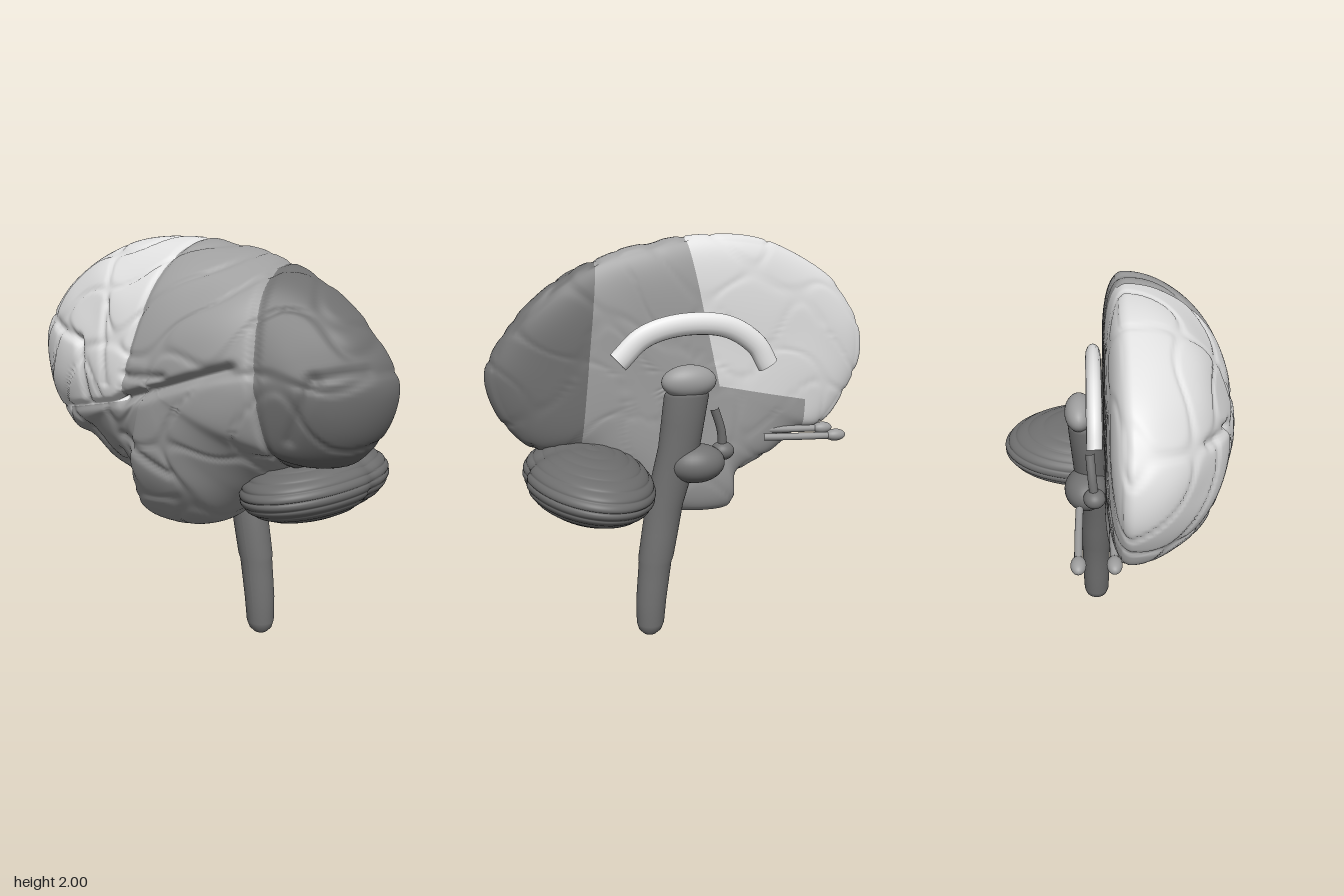
import * as THREE from 'three';

const mat = (name, color, side = THREE.FrontSide) =>
  Object.assign(new THREE.MeshStandardMaterial({ color, side }), { name });

// linear lookup in a table of [key, value] pairs
function lookup(table, k) {
  const i = Math.max(1, table.findIndex(([key]) => k <= key));
  const [a, va] = table[i - 1], [b, vb] = table[i];
  return THREE.MathUtils.mapLinear(k, a, b, va, vb);
}

// side outline of the hemisphere (x, y)
const OUTLINE = [
  [-0.962, 1.4], [-0.94, 1.57], [-0.81, 1.757], [-0.67, 1.862], [-0.46, 1.96], [-0.2, 1.998], [0, 1.995],
  [0.25, 1.945], [0.42, 1.895], [0.59, 1.812], [0.75, 1.692], [0.88, 1.542], [0.955, 1.4], [0.95, 1.29],
  [0.885, 1.13], [0.77, 1.01], [0.54, 0.96], [0.33, 0.8], [0.14, 0.652], [-0.1, 0.595], [-0.26, 0.625],
  [-0.28, 0.79], [-0.47, 0.89], [-0.62, 0.995], [-0.75, 1.025], [-0.87, 1.165], [-0.94, 1.29],
];

// main furrows: x1, y1, x2, y2, depth, width
const FURROWS = [
  [-0.16, 1.275, 0.38, 1.455, 0.05, 0.024], [-0.63, 1.175, -0.16, 1.272, 0.02, 0.02],
  [0, 2, -0.16, 1.28, 0.012, 0.014], [0.43, 1.92, 0.54, 0.95, 0.012, 0.014],
  [-0.28, 0.62, -0.27, 1.0, 0.025, 0.02], [-0.12, 1.39, 0.07, 1.4, 0.02, 0.02],
  [-0.7, 1.58, -0.45, 1.53, 0.018, 0.02], [-0.45, 1.53, -0.4, 1.25, 0.018, 0.02],
  [-0.3, 1.7, -0.25, 1.35, 0.014, 0.018], [0.62, 1.15, 0.72, 1.42, 0.016, 0.02],
  [0.72, 1.42, 0.88, 1.45, 0.014, 0.02], [-0.2, 1.1, 0.05, 0.95, 0.016, 0.02],
];

// inward and outward folds of the cortex
function fold(x, y, z) {
  const a = x + 0.1 * Math.sin(5 * y + 1) + 0.05 * Math.sin(11 * y + 4 * z);
  const b = y + 0.1 * Math.sin(6 * x + 2) + 0.05 * Math.sin(12 * x - 5 * z);
  const n = Math.sin(13 * a + 6 * z) + Math.sin(15 * b - 5 * a - 4 * z);
  let h = 0.003 * n - 0.009 * Math.exp(-((n / 0.25) ** 2)) + 0.003;
  if (z < 0.03) return h * 0.4;
  for (const [x1, y1, x2, y2, depth, width] of FURROWS) {
    const dx = x2 - x1, dy = y2 - y1;
    const t = THREE.MathUtils.clamp(((x - x1) * dx + (y - y1) * dy) / (dx * dx + dy * dy), 0, 1);
    h -= depth * Math.exp(-((Math.hypot(x - x1 - dx * t, y - y1 - dy * t) / width) ** 2));
  }
  return h;
}

// closed half dome: rounded outside, nearly flat middle face
function hemisphere() {
  const nu = 280, nv = 104, front = 0.64, cx = -0.02, cy = 1.35;
  const curve = new THREE.CatmullRomCurve3(OUTLINE.map(([x, y]) => new THREE.Vector3(x, y, 0)), true);
  const rim = curve.getSpacedPoints(nu);
  const pos = [], index = [];
  for (let j = 0; j <= nv; j++) {
    const v = j / nv, outer = v <= front;
    const t = Math.sin((outer ? v / front : (1 - v) / (1 - front)) * Math.PI / 2);
    for (let i = 0; i < nu; i++) {
      const dx = rim[i].x - cx, dy = rim[i].y - cy;
      const z = outer ? 0.07 + 0.495 * Math.max(0, 1 - t * t) ** (0.54 - 0.12 * dy * dy)
        : 0.07 - 0.1 * Math.sqrt(Math.max(0, 1 - t ** 6));
      pos.push(cx + dx * t, cy + dy * t, z);
      if (j === nv) continue;
      const p = j * nu + i, q = j * nu + (i + 1) % nu;
      index.push(p, j < nv - 1 ? q + nu : q, p + nu);
      if (j > 0 && j < nv - 1) index.push(p, q, q + nu);
    }
  }
  const g = new THREE.BufferGeometry();
  g.setAttribute('position', new THREE.Float32BufferAttribute(pos, 3));
  g.setIndex(index);
  g.computeVertexNormals();
  const P = g.attributes.position, N = g.attributes.normal;
  const flattenPoles = () => {
    for (let i = 0; i < nu; i++) {
      N.setXYZ(i, 0, 0, 1);
      N.setXYZ(nv * nu + i, 0, 0, -1);
    }
  };
  flattenPoles();
  for (let i = 0; i < P.count; i++) {
    const x = P.getX(i), y = P.getY(i), z = P.getZ(i), h = fold(x, y, z);
    P.setXYZ(i, x + N.getX(i) * h, y + N.getY(i) * h, z + N.getZ(i) * h);
  }
  g.computeVertexNormals();
  flattenPoles();
  return g;
}

// polygons of [x, y, z, nx, ny, nz] corners, cut by a line through two points
function polygons(g) {
  const { position: P, normal: N } = g.attributes, I = g.index.array, out = [];
  const corner = (i) => [P.getX(i), P.getY(i), P.getZ(i), N.getX(i), N.getY(i), N.getZ(i)];
  for (let i = 0; i < I.length; i += 3) out.push([corner(I[i]), corner(I[i + 1]), corner(I[i + 2])]);
  return out;
}
function split(polys, x1, y1, x2, y2) {
  const side = (c) => (x2 - x1) * (c[1] - y1) - (y2 - y1) * (c[0] - x1);
  const left = [], right = [];
  for (const poly of polys) {
    const l = [], r = [];
    poly.forEach((a, i) => {
      const b = poly[(i + 1) % poly.length], da = side(a), db = side(b);
      (da >= 0 ? l : r).push(a);
      if (da >= 0 === db >= 0) return;
      const m = a.map((v, k) => v + (b[k] - v) * da / (da - db));
      l.push(m);
      r.push(m);
    });
    if (l.length > 2) left.push(l);
    if (r.length > 2) right.push(r);
  }
  return [left, right];
}
function fromPolygons(polys) {
  const pos = [], nor = [];
  for (const p of polys) for (let i = 2; i < p.length; i++) for (const c of [p[0], p[i - 1], p[i]]) {
    pos.push(...c.slice(0, 3));
    nor.push(...c.slice(3));
  }
  const g = new THREE.BufferGeometry();
  g.setAttribute('position', new THREE.Float32BufferAttribute(pos, 3));
  return g.setAttribute('normal', new THREE.Float32BufferAttribute(nor, 3));
}

// move every vertex of a geometry by a rule
function reshape(g, rule) {
  const P = g.attributes.position;
  for (let i = 0; i < P.count; i++) P.setXYZ(i, ...rule(P.getX(i), P.getY(i), P.getZ(i)));
  g.computeVertexNormals();
  return g;
}

export function createModel() {
  const group = new THREE.Group();
  const light = mat('light grey', 0xe0e0e0), mid = mat('mid grey', 0x9e9e9e), dark = mat('dark grey', 0x6e6e6e);
  const stemGrey = mat('stem grey', 0x727272), pale = mat('pale grey', 0xe8e8e8, THREE.DoubleSide);
  const add = (name, geo, m) => {
    const mesh = new THREE.Mesh(geo, m);
    mesh.name = name;
    group.add(mesh);
    return mesh;
  };
  const ball = (name, m, x, y, z, rx, ry, rz) =>
    add(name, new THREE.SphereGeometry(1, 32, 20).scale(rx, ry, rz).translate(x, y, z), m);
  const tube = (name, m, pts, r) =>
    add(name, new THREE.TubeGeometry(new THREE.CatmullRomCurve3(pts.map((p) => new THREE.Vector3(...p))), 40, r, 16), m);

  // lobes of the hemisphere
  const [rest, back] = split(polygons(hemisphere()), 0.54, 0.95, 0.43, 1.92);
  const [above, below] = split(rest, -0.63, 1.175, -0.16, 1.272);
  const [frontUpper, crown] = split(above, -0.16, 1.272, 0, 2);
  const [frontTip, lower] = split(below, -0.63, 1, -0.63, 2);
  add('frontalLobe', fromPolygons([...frontUpper, ...frontTip]), light);
  add('parietalLobe', fromPolygons(crown), mid);
  add('temporalLobe', fromPolygons(lower), mid);
  add('occipitalLobe', fromPolygons(back), dark);

  // cerebellum: layered leaves with a notch at the back
  const cerebellum = reshape(new THREE.SphereGeometry(1, 96, 160), (x, y, z) => {
    const notch = Math.exp(-((z / 0.12) ** 2)) * Math.max(0, x);
    const leaf = Math.abs(Math.sin(Math.asin(THREE.MathUtils.clamp(y, -1, 1)) * 13 + notch * 0.8));
    const k = 0.988 + 0.024 * Math.sqrt(leaf) - 0.07 * notch;
    return [x * k * 0.308, y * k * 0.164, z * k * 0.492];
  });
  add('cerebellum', cerebellum.rotateZ(0.16).translate(0.517, 0.862, -0.075), dark);

  // brain stem: a lathe bent along its length
  const profile = [[0, 0], [0.035, 0.012], [0.058, 0.035], [0.07, 0.07], [0.077, 0.2], [0.08, 0.3], [0.083, 0.4],
    [0.089, 0.43], [0.092, 0.56], [0.094, 0.7], [0.1, 0.85], [0.104, 1], [0.107, 1.13], [0.11, 1.26], [0.1, 1.28], [0, 1.285]];
  const bendX = [[0, 0.222], [0.2, 0.212], [0.4, 0.19], [0.7, 0.14], [1, 0.07], [1.29, 0.035]];
  const bendZ = [[0, -0.072], [0.7, -0.072], [1, -0.1], [1.29, -0.125]];
  const stem = new THREE.LatheGeometry(profile.map((p) => new THREE.Vector2(...p)), 40);
  add('brainStem', reshape(stem, (x, y, z) =>
    [x + lookup(bendX, y), y, z * (1 - 0.19 * y) + lookup(bendZ, y)]), stemGrey);
  ball('pons', stemGrey, -0.01, 0.915, -0.12, 0.145, 0.097, 0.11);
  ball('thalamus', mid, 0.035, 1.33, -0.15, 0.135, 0.08, 0.07);

  // pituitary gland on its stalk
  ball('pituitary', stemGrey, -0.16, 0.955, -0.08, 0.06, 0.047, 0.055);
  tube('pituitaryStalk', stemGrey, [[-0.16, 0.96, -0.08], [-0.15, 1.06, -0.09], [-0.11, 1.18, -0.1]], 0.022);

  // arched band above the thalamus, taller than thick
  const band = tube('corpusCallosum', pale, [[-0.395, 1.375, 0], [-0.33, 1.48, 0], [-0.18, 1.573, 0],
    [0.06, 1.588, 0], [0.24, 1.535, 0], [0.36, 1.425, 0]], 0.054);
  band.geometry.scale(1, 1, 0.68).translate(0, 0, -0.078);

  // pair of olfactory rods with bulbs
  for (const z of [-0.155, 0]) {
    tube('olfactoryTract', mid, [[-0.74, 1.01, z], [-0.55, 1.018, z], [-0.35, 1.028, z + 0.004]], 0.018);
    ball('olfactoryBulb', mid, -0.74, 1.012, z, 0.054, 0.03, 0.034);
  }
  return group;
}
